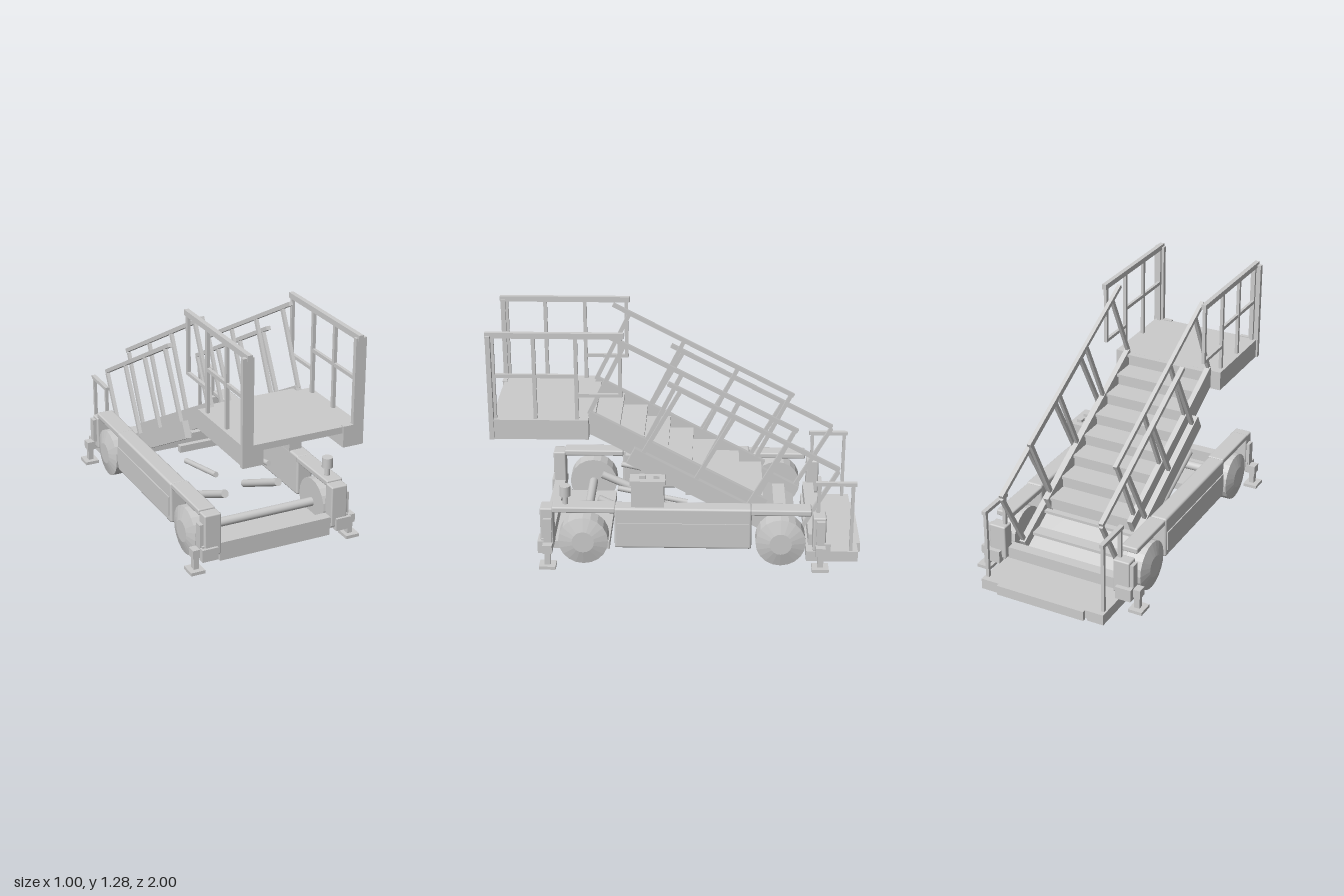
import * as THREE from 'three';
import { RoundedBoxGeometry } from 'three/addons/geometries/RoundedBoxGeometry.js';

export function createModel() {
  const root = new THREE.Group();
  root.name = 'boardingStairs';
  const grey = new THREE.MeshStandardMaterial({ color: 0xcccccc });
  grey.name = 'grey';

  const add = (name, geo, x = 0, y = 0, z = 0) => {
    const m = new THREE.Mesh(geo, grey);
    m.name = name;
    m.position.set(x, y, z);
    root.add(m);
    return m;
  };
  // box from its limits on each axis; r rounds the edges
  const box = (name, x0, x1, y0, y1, z0, z1, r = 0) => {
    const s = [x1 - x0, y1 - y0, z1 - z0];
    const geo = r ? new RoundedBoxGeometry(...s, 2, r) : new THREE.BoxGeometry(...s);
    return add(name, geo, (x0 + x1) / 2, (y0 + y1) / 2, (z0 + z1) / 2);
  };
  // the same box on both sides, measured outward from the middle
  const pair = (name, x0, x1, ...rest) => {
    box(name + 'Left', x0, x1, ...rest);
    box(name + 'Right', -x1, -x0, ...rest);
  };
  // straight bar in the y/z plane between two [z, y] points
  const bar = (name, x, [z0, y0], [z1, y1], w, h) => {
    const geo = new THREE.BoxGeometry(w, h, Math.hypot(z1 - z0, y1 - y0));
    const m = add(name, geo, x, (y0 + y1) / 2, (z0 + z1) / 2);
    m.rotation.x = -Math.atan2(y1 - y0, z1 - z0);
  };
  const rod = (name, x, [z0, y0], [z1, y1], r) => {
    const geo = new THREE.CylinderGeometry(r, r, Math.hypot(z1 - z0, y1 - y0), 16);
    const m = add(name, geo, x, (y0 + y1) / 2, (z0 + z1) / 2);
    m.rotation.x = Math.atan2(z1 - z0, y1 - y0);
  };
  const slope = 0.534;
  const line = (z, c) => [z, c + slope * z];

  // Chassis: side bodies, fenders and corner housings
  pair('sideBody', 0.335, 0.43, 0.1, 0.335, -0.4, 0.335, 0.012);
  pair('sideBand', 0.36, 0.436, 0.14, 0.25, -0.385, 0.32);
  pair('frontFender', 0.33, 0.425, 0.302, 0.335, 0.33, 0.67, 0.008);
  pair('rearFender', 0.33, 0.425, 0.297, 0.33, -0.72, -0.395, 0.008);
  pair('frontHousing', 0.325, 0.42, 0.09, 0.325, 0.665, 0.735, 0.008);
  pair('rearHousing', 0.325, 0.42, 0.09, 0.285, -0.8, -0.73, 0.008);
  box('frontBumper', -0.43, 0.43, 0.085, 0.15, 0.67, 0.73);
  box('frontFloor', -0.325, 0.325, 0.04, 0.085, 0.37, 0.72);
  box('rearBeam', -0.34, 0.34, 0.085, 0.15, -0.77, -0.71);

  // Wheels with a shallow domed face and a flat hub
  const profile = [[0, -0.055], [0.135, -0.055], [0.135, 0.04], [0.06, 0.06], [0, 0.06]]
    .map(p => new THREE.Vector2(...p));
  const wheel = new THREE.LatheGeometry(profile, 20).toNonIndexed();
  wheel.computeVertexNormals();
  for (const s of [-1, 1]) {
    for (const z of [0.505, -0.557]) {
      add('wheel', wheel, s * 0.388, 0.14, z).rotation.z = -s * Math.PI / 2;
    }
  }
  add('frontAxle', new THREE.CylinderGeometry(0.025, 0.025, 0.68, 16), 0, 0.14, 0.505)
    .rotation.z = Math.PI / 2;

  // Stabiliser legs
  for (const [z, out] of [[0.695, 1], [-0.77, -1]]) {
    pair('stabiliserFoot', 0.42, 0.5, 0, 0.018, z - 0.045, z + 0.045);
    pair('stabiliserLeg', 0.442, 0.472, 0.018, 0.1, z - 0.016, z + 0.016);
    pair('stabiliserSleeve', 0.432, 0.48, 0.085, 0.133, z - 0.026, z + 0.026);
    pair('stabiliserArm', 0.35, 0.44, 0.07, 0.14, z + out * 0.035 - 0.02, z + out * 0.035 + 0.02);
    pair('stabiliserGuide', 0.415, 0.44, 0.13, 0.27, z - 0.022, z + 0.022);
  }

  // Control box and beacon on the left side body
  box('controlBox', 0.332, 0.41, 0.33, 0.465, 0.07, 0.245);
  box('controlLid', 0.322, 0.42, 0.465, 0.49, 0.062, 0.252);
  for (const z of [0.11, 0.185]) box('controlButton', 0.355, 0.385, 0.49, 0.507, z - 0.016, z + 0.016);
  add('beaconStem', new THREE.CylinderGeometry(0.015, 0.015, 0.06, 16), 0.37, 0.36, 0.6);
  add('beaconHead', new THREE.CylinderGeometry(0.03, 0.03, 0.058, 16), 0.37, 0.411, 0.6);

  // Lifting cylinders
  for (const x of [-0.16, 0.16]) {
    rod('liftCylinder', x, [0.44, 0.265], [0.04, 0.08], 0.022);
    rod('liftRod', x, [0.33, 0.33], [-0.05, 0.25], 0.015);
  }
  box('liftBracket', -0.2, 0.2, 0.31, 0.35, -0.07, -0.04);

  // Lower flight
  for (const s of [-1, 1]) {
    bar('lowerStringer', s * 0.293, line(0.25, 0.456), line(-0.66, 0.456), 0.035, 0.095);
    bar('lowerHandrail', s * 0.295, [0.05, 1.0], [-0.865, 0.515], 0.026, 0.022);
    for (let i = 0; i < 4; i++) {
      const z = -0.015 - i * 0.282;
      bar('lowerBaluster', s * 0.295, [z, 0.965 + slope * z], line(z + 0.2, 0.5), 0.02, 0.022);
    }
  }
  bar('lowerSoffit', 0, line(0.25, 0.445), line(-0.65, 0.445), 0.55, 0.006);
  for (let i = 0; i < 7; i++) {
    const z = -0.54 + i * 0.129, y = 0.445 + slope * z;
    box('lowerTread', -0.275, 0.275, y - 0.008, y + 0.008, z - 0.06, z + 0.045);
  }

  // Upper flight, sliding inside the lower one
  for (const s of [-1, 1]) {
    bar('upperStringer', s * 0.256, line(0.49, 0.513), line(-0.46, 0.513), 0.03, 0.115);
    bar('upperHandrail', s * 0.255, [0.37, 1.25], [-0.64, 0.72], 0.022, 0.022);
    for (let i = 0; i < 4; i++) {
      const z = 0.28 - i * 0.3;
      bar('upperBaluster', s * 0.255, [z, 1.045 + slope * z], line(z + 0.19, 0.56), 0.018, 0.022);
    }
  }
  bar('upperSoffit', 0, line(0.47, 0.458), line(-0.46, 0.458), 0.49, 0.006);
  for (let i = 0; i < 8; i++) {
    const z = 0.509 - i * 0.129, y = 0.52 + slope * z;
    box('upperTread', -0.242, 0.242, y - 0.008, y + 0.008, z - 0.07, z + 0.075);
    box('upperRiser', -0.242, 0.242, y - 0.065, y - 0.008, z - 0.057, z - 0.052);
  }

  // Top platform: deck on side beams and a rear cross plate, open at the front
  box('platformDeck', -0.33, 0.33, 0.765, 0.8, 0.47, 0.985);
  pair('platformBeam', 0.225, 0.33, 0.69, 0.765, 0.47, 0.985);
  box('platformCrossPlate', -0.225, 0.225, 0.69, 0.765, 0.47, 0.55);
  pair('platformFrontPlate', 0.225, 0.335, 0.69, 0.805, 0.97, 0.995);
  pair('platformEndPlate', 0.28, 0.34, 0.69, 1.265, 0.97, 0.995);

  // Platform guard rails
  pair('guardTopRail', 0.292, 0.318, 1.25, 1.28, 0.28, 1.0);
  pair('guardMidRail', 0.296, 0.312, 1.03, 1.05, 0.53, 0.97);
  for (const z of [0.53, 0.75, 0.965]) pair('guardPost', 0.295, 0.313, 0.8, 1.25, z - 0.01, z + 0.01);
  pair('guardEndPost', 0.295, 0.313, 0.925, 1.25, 0.29, 0.31);
  pair('guardLowRail', 0.295, 0.313, 0.925, 0.943, 0.3, 0.53);

  // Entry step at the rear with short grab rails
  box('entryStep', -0.365, 0.365, 0.012, 0.06, -0.98, -0.7);
  box('entryStepNose', -0.26, 0.26, 0.005, 0.06, -1.0, -0.98);
  pair('entryStepSkid', 0.27, 0.365, 0, 0.012, -0.98, -0.7);
  pair('grabRail', 0.334, 0.358, 0.445, 0.465, -0.96, -0.74);
  pair('grabRearPost', 0.337, 0.355, 0.06, 0.445, -0.95, -0.932);
  pair('grabFrontPost', 0.337, 0.355, 0.28, 0.445, -0.768, -0.75);
  return root;
}
